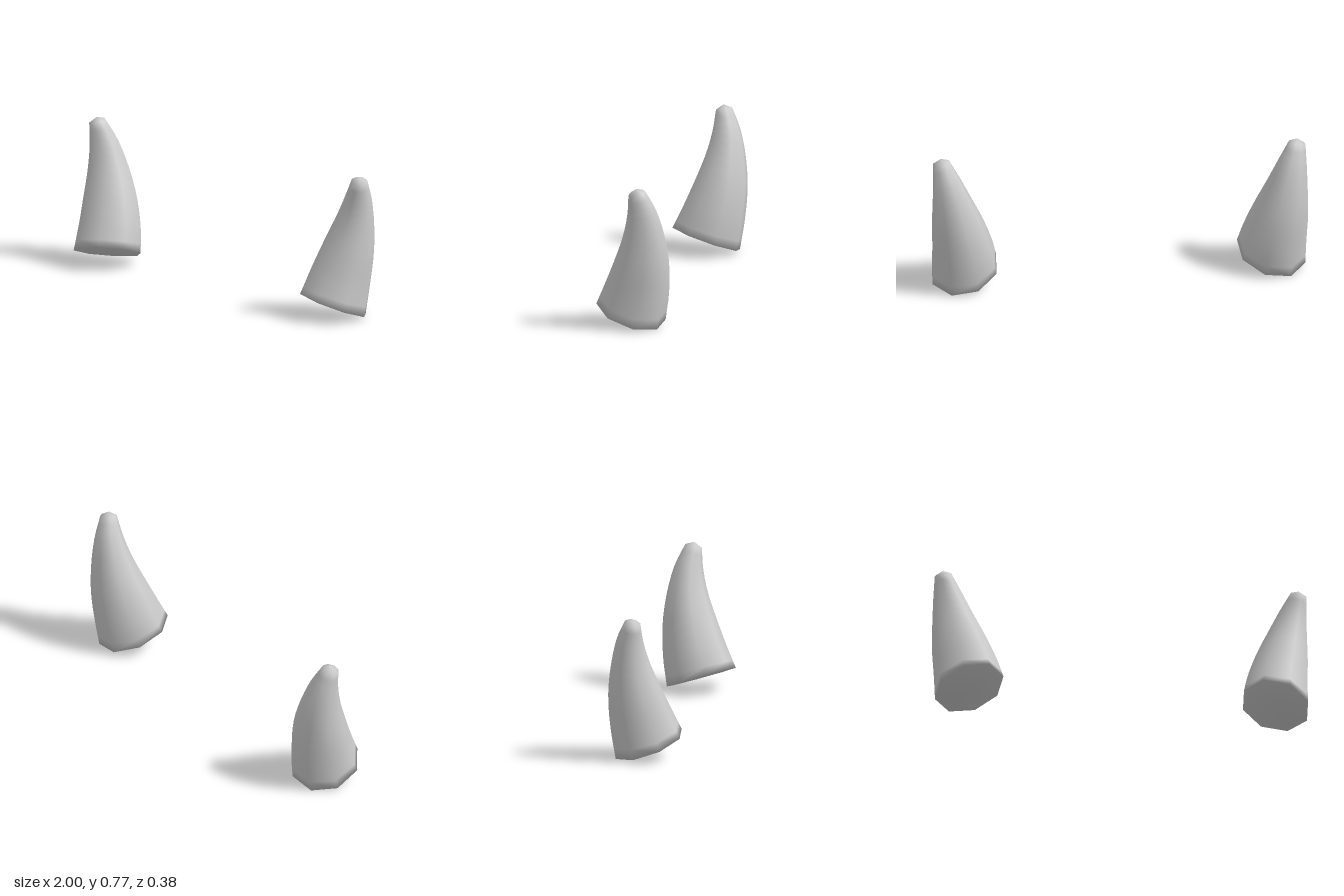
import * as THREE from 'three';

const SIDES = 8;
const START = THREE.MathUtils.degToRad(28);

// Centre line of the horn, from base to tip
const centres = new THREE.CatmullRomCurve3([
  [0.815, 0.067, 0.017], [0.83, 0.2, -0.02], [0.86, 0.357, -0.053],
  [0.892, 0.51, -0.07], [0.92, 0.64, -0.067], [0.946, 0.745, -0.047],
].map((p) => new THREE.Vector3(...p)));

// Radius, and slope of each ring along x and z
const sections = new THREE.CatmullRomCurve3([
  [0.183, -0.2, 0.32], [0.169, -0.15, 0.22], [0.144, -0.17, 0.1],
  [0.108, -0.2, 0], [0.075, -0.22, -0.1], [0.044, -0.23, -0.2],
].map((p) => new THREE.Vector3(...p)));

// Octagonal rings swept along the curve, closed at base and tip; side is 1 or -1
function hornGeometry(side) {
  const pos = [], index = [];
  const steps = [0, 0.07];
  for (let i = 2; i <= 14; i++) steps.push(i / 14);
  for (const t of steps) {
    const c = centres.getPoint(t), s = sections.getPoint(t);
    for (let j = 0; j < SIDES; j++) {
      const a = START + (j / SIDES) * Math.PI * 2;
      const dx = s.x * Math.cos(a), dz = s.x * Math.sin(a);
      pos.push(side * (c.x + dx), c.y + s.y * dx + s.z * dz, c.z + dz);
    }
  }
  const base = pos.length / 3, tip = base + 1, last = (steps.length - 1) * SIDES;
  pos.push(side * 0.815, 0.067, 0.017, side * 0.947, 0.767, -0.044);

  const tri = (a, b, c) => (side > 0 ? index.push(a, b, c) : index.push(a, c, b));
  for (let j = 0; j < SIDES; j++) {
    const k = (j + 1) % SIDES;
    for (let r = 0; r < last; r += SIDES) {
      tri(r + j, r + SIDES + j, r + k);
      tri(r + k, r + SIDES + j, r + SIDES + k);
    }
    tri(base, j, k);
    tri(last + j, tip, last + k);
  }
  const geo = new THREE.BufferGeometry();
  geo.setAttribute('position', new THREE.Float32BufferAttribute(pos, 3));
  geo.setIndex(index);
  geo.computeVertexNormals();
  return geo;
}

export function createModel() {
  const group = new THREE.Group();
  group.name = 'hornPair';
  const horn = new THREE.MeshStandardMaterial({ color: 0xcccccc });
  horn.name = 'horn grey';
  for (const [name, side] of [['leftHorn', 1], ['rightHorn', -1]]) {
    const mesh = new THREE.Mesh(hornGeometry(side), horn);
    mesh.name = name;
    group.add(mesh);
  }
  return group;
}
